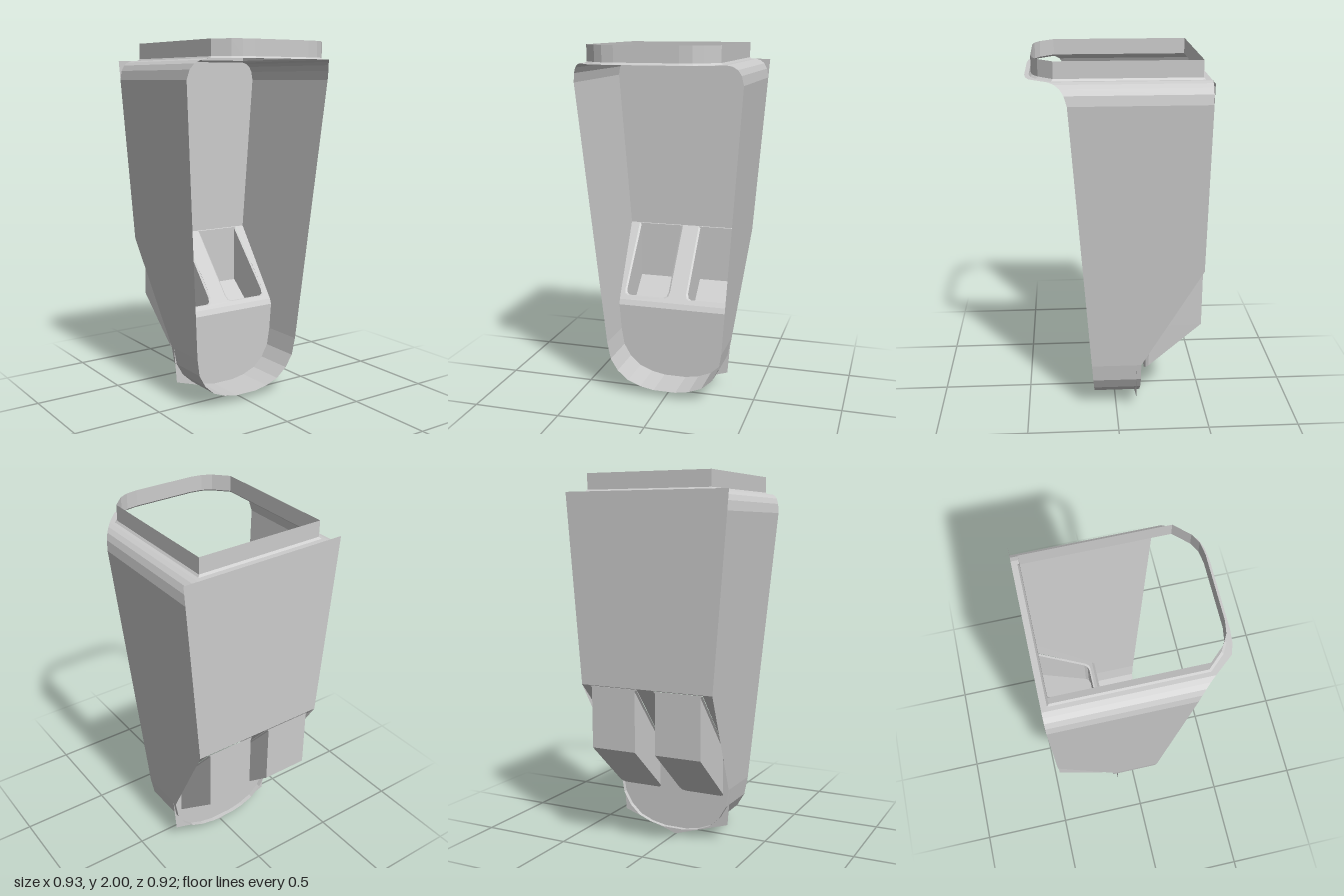
import * as THREE from 'three';

const material = new THREE.MeshStandardMaterial({ color: 0xcccccc, flatShading: true, side: THREE.DoubleSide });
const { lerp, mapLinear, clamp } = THREE.MathUtils;

// Half width of the tapering body at height y
const halfWidth = (y) => mapLinear(y, 0.1, 1.905, 0.32, 0.465);
// Depth of the sloping panel and of the bin floor
const panelZ = (y) => mapLinear(y, 0.49, 0.89, -0.125, -0.46);
const panelY = (z) => mapLinear(z, -0.125, -0.46, 0.49, 0.89);
const floorY = (z) => mapLinear(z, -0.145, -0.463, 0.27, 0.55);

function mesh(name, geometry) {
  const m = new THREE.Mesh(geometry, material);
  m.name = name;
  return m;
}

// Surface through rings of [x, y, z] points; optionally closed and capped at the last ring
function loft(rings, closed = false, cap = false) {
  const n = rings[0].length;
  const index = [];
  for (let r = 0; r < rings.length - 1; r++) {
    for (let i = 0; i < (closed ? n : n - 1); i++) {
      const j = (i + 1) % n;
      const a = r * n + i, b = r * n + j;
      index.push(a, b, b + n, a, b + n, a + n);
    }
  }
  if (cap) {
    const base = (rings.length - 1) * n;
    for (let i = 1; i < n - 1; i++) index.push(base, base + i, base + i + 1);
  }
  const g = new THREE.BufferGeometry();
  g.setAttribute('position', new THREE.Float32BufferAttribute(rings.flat(2), 3));
  g.setIndex(index);
  g.computeVertexNormals();
  return g;
}

// Flat shape with holes, whose points are then placed by a rule
function sheet(outline, holes, place) {
  const toPoints = (list) => list.map(([a, b]) => new THREE.Vector2(a, b));
  const shape = new THREE.Shape(toPoints(outline));
  for (const h of holes) shape.holes.push(new THREE.Path(toPoints(h)));
  const g = new THREE.ShapeGeometry(shape);
  const p = g.attributes.position;
  for (let i = 0; i < p.count; i++) p.setXYZ(i, ...place(p.getX(i), p.getY(i)));
  g.computeVertexNormals();
  return g;
}

// Mirrors a half outline across x = 0
const mirrored = (half) => [...half, ...half.slice().reverse().map(([x, ...rest]) => [-x, ...rest])];

// Trapezoid between two heights, following the body taper
const taper = (y0, y1) => [
  [-halfWidth(y0), y0], [halfWidth(y0), y0], [halfWidth(y1), y1], [-halfWidth(y1), y1],
];

// Plan outline of a bin with cut front corners, inset by d
function binPlan(side, d) {
  const x0 = 0.05 + d, x1 = 0.33 - d, zf = -0.142 - d, zb = -0.462, c = 0.025;
  return [
    [x0, zb], [x0, zf - c], [x0 + c * 0.3, zf - c * 0.3], [x0 + c, zf],
    [x1 - c, zf], [x1 - c * 0.3, zf - c * 0.3], [x1, zf - c], [x1, zb],
  ].map(([x, z]) => [x * side, z]);
}

export function createModel() {
  const group = new THREE.Group();

  // U-shaped shell: rolled top edge, tapering sides, round bottom; [x, y, front z]
  const frontZ = (y) => lerp(0.12, 0.25, (y - 0.04) / 1.76);
  const side = [
    [0.385, 1.905, 0.34], [0.41, 1.897, 0.31], [0.432, 1.88, 0.285], [0.448, 1.85, 0.265],
    ...[1.8, 0.89, 0.31].map((y) => [halfWidth(y), y, frontZ(y)]),
    ...[[0.32, 0.21], [0.28, 0.14], [0.22, 0.085], [0.145, 0.055], [0.065, 0.04]]
      .map(([x, y]) => [x, y, frontZ(y)]),
  ];
  const rim = mirrored(side);
  const rear = rim.map(([x, y]) => [x, y, mapLinear(clamp(y, 0.31, 0.89), 0.31, 0.89, -0.135, -0.46)]);
  group.add(mesh('shell', loft([rim, rear])));

  // Back wall
  group.add(mesh('backWall', sheet(taper(0.89, 1.905), [], (x, y) => [x, y, -0.46])));

  // Sloping panel with two bin openings
  const openings = [1, -1].map((s) => binPlan(s, 0).map(([x, z]) => [x, Math.min(panelY(z), 0.887)]));
  group.add(mesh('slopingPanel', sheet(taper(0.49, 0.89), openings, (x, y) => [x, y, panelZ(y)])));

  // Fold and pointed lower plate
  group.add(mesh('panelFold', sheet(taper(0.46, 0.49), [],
    (x, y) => [x, y, mapLinear(y, 0.46, 0.49, -0.11, -0.125)])));
  group.add(mesh('lowerPlate', sheet(
    [[0, 0], [0.32, 0.1], [halfWidth(0.46), 0.46], [-halfWidth(0.46), 0.46], [-0.32, 0.1]], [],
    (x, y) => [x, y, -0.11])));

  // Two bins hanging behind the openings, with a bevelled lip and slanted floor
  for (const s of [1, -1]) {
    const lip = binPlan(s, 0).map(([x, z]) => [x, Math.min(panelY(z), 0.887), z]);
    const inner = binPlan(s, 0.01);
    const upper = inner.map(([x, z]) => [x, Math.min(panelY(z), 0.887) - 0.01, z]);
    const floor = inner.map(([x, z]) => [x, floorY(z), z]);
    group.add(mesh(s > 0 ? 'leftBin' : 'rightBin', loft([lip, upper, floor], true, true)));
  }

  // Collar with cut front corners and a small flare at its base
  const collar = mirrored([
    [0.355, -0.42], [0.355, 0.315], [0.285, 0.39], [0.235, 0.417], [0.17, 0.427],
  ]);
  const ring = (k, y) => collar.map(([x, z]) => [x * k, y, z * k]);
  group.add(mesh('collar', loft([ring(1.025, 1.905), ring(1, 1.915), ring(1, 2)], true)));

  // Flat flange around the collar
  const flange = mirrored([
    [0.385, -0.46], [0.385, 0.34], [0.305, 0.435], [0.25, 0.453], [0.18, 0.46],
  ]);
  const hole = collar.map(([x, z]) => [x * 1.025, z * 1.025]);
  group.add(mesh('flange', sheet(flange, [hole], (x, z) => [x, 1.905, z])));

  return group;
}
